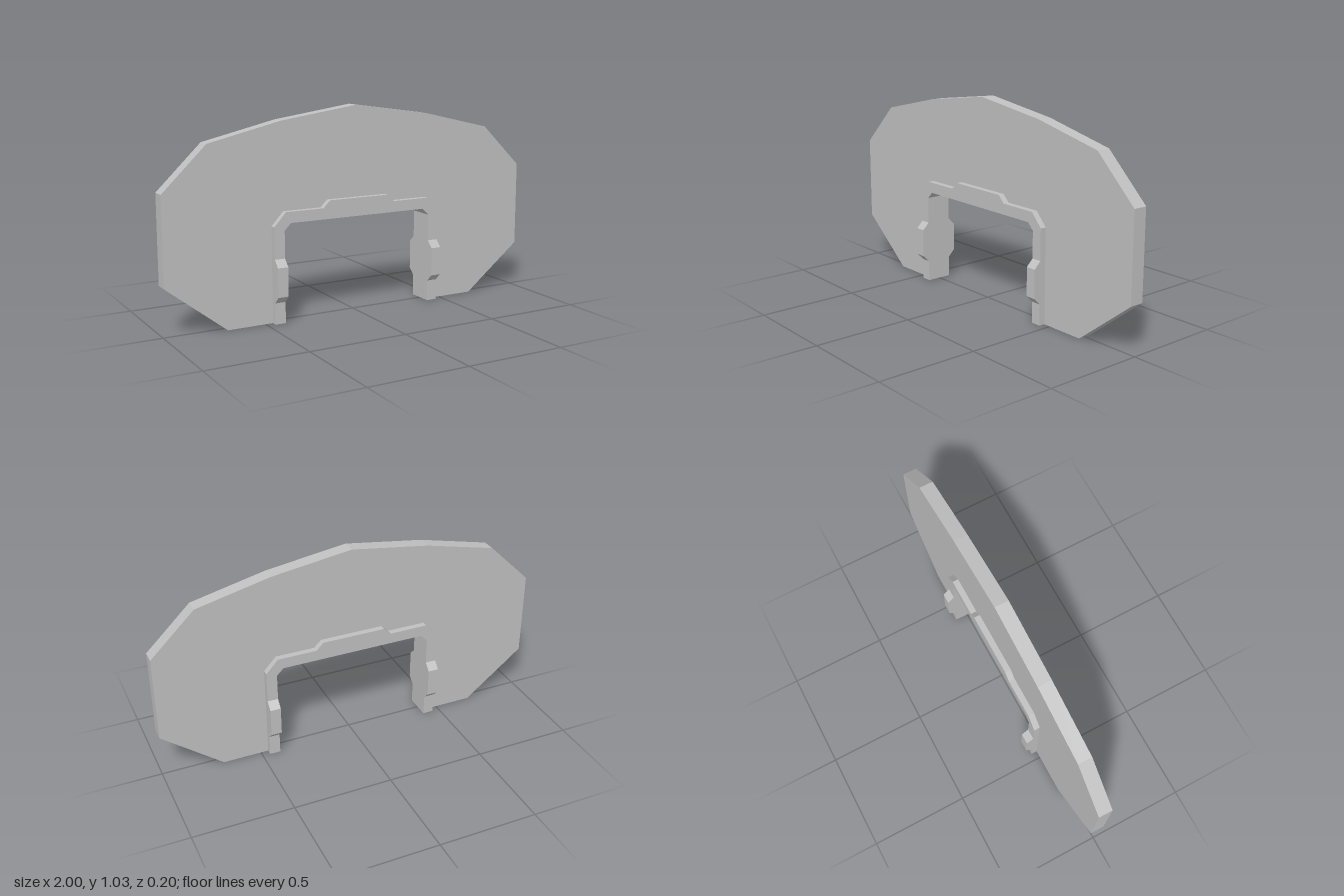
import * as THREE from 'three';

const PLATE_Z = 0.036, FRAME_Z = 0.067, LUG_Z = 0.102;
const LEG_IN = 0.408, LEG_OUT = 0.462;

// Right-hand halves of the outlines, from the base up to the middle
const plateEdge = [[0.695, 0], [1, 0.24], [1, 0.673], [0.778, 0.888], [0.405, 0.975], [0, 1.033]];
const frameOuter = [[LEG_OUT, 0], [LEG_OUT, 0.477], [0.4, 0.544], [0.2, 0.544], [0.163, 0.58]];
const frameInner = [[LEG_IN, 0], [LEG_IN, 0.455], [0.374, 0.489]];

// Full arch: right half followed by its mirror image
function arch(half) {
  const mirrored = half.filter(([x]) => x > 0).map(([x, y]) => [-x, y]).reverse();
  return [...half, ...mirrored];
}

// Solid between two arches, centred on z = 0
function archSolid(outer, inner, halfDepth) {
  const outline = [...arch(outer), ...arch(inner).reverse()];
  const shape = new THREE.Shape(outline.map(([x, y]) => new THREE.Vector2(x, y)));
  const geometry = new THREE.ExtrudeGeometry(shape, { depth: 2 * halfDepth, bevelEnabled: false });
  return geometry.translate(0, 0, -halfDepth);
}

export function createModel() {
  const grey = new THREE.MeshStandardMaterial({ color: 0xc0c0c0 });
  grey.name = 'light grey';
  const model = new THREE.Group();
  model.name = 'archedPlate';

  function add(name, geometry) {
    const mesh = new THREE.Mesh(geometry, grey);
    mesh.name = name;
    model.add(mesh);
    return mesh;
  }

  // Faceted plate around the thicker frame of the opening
  add('plate', archSolid(plateEdge, frameOuter, PLATE_Z));
  add('openingFrame', archSolid(frameOuter, frameInner, FRAME_Z));

  // Bevelled lugs on the front and back of each leg
  const lugProfile = new THREE.Shape([
    [FRAME_Z, 0.106], [LUG_Z, 0.141], [LUG_Z, 0.285], [FRAME_Z, 0.32],
  ].map(([z, y]) => new THREE.Vector2(z, y)));
  const lug = new THREE.ExtrudeGeometry(lugProfile, { depth: LEG_OUT - LEG_IN, bevelEnabled: false });
  lug.translate(0, 0, (LEG_IN - LEG_OUT) / 2).rotateY(-Math.PI / 2);
  for (const side of [1, -1]) {
    for (const facing of [1, -1]) {
      const mesh = add(`${side > 0 ? 'left' : 'right'}${facing > 0 ? 'Front' : 'Back'}Lug`, lug);
      mesh.position.x = side * (LEG_IN + LEG_OUT) / 2;
      mesh.rotation.y = facing > 0 ? 0 : Math.PI;
    }
  }
  return model;
}
